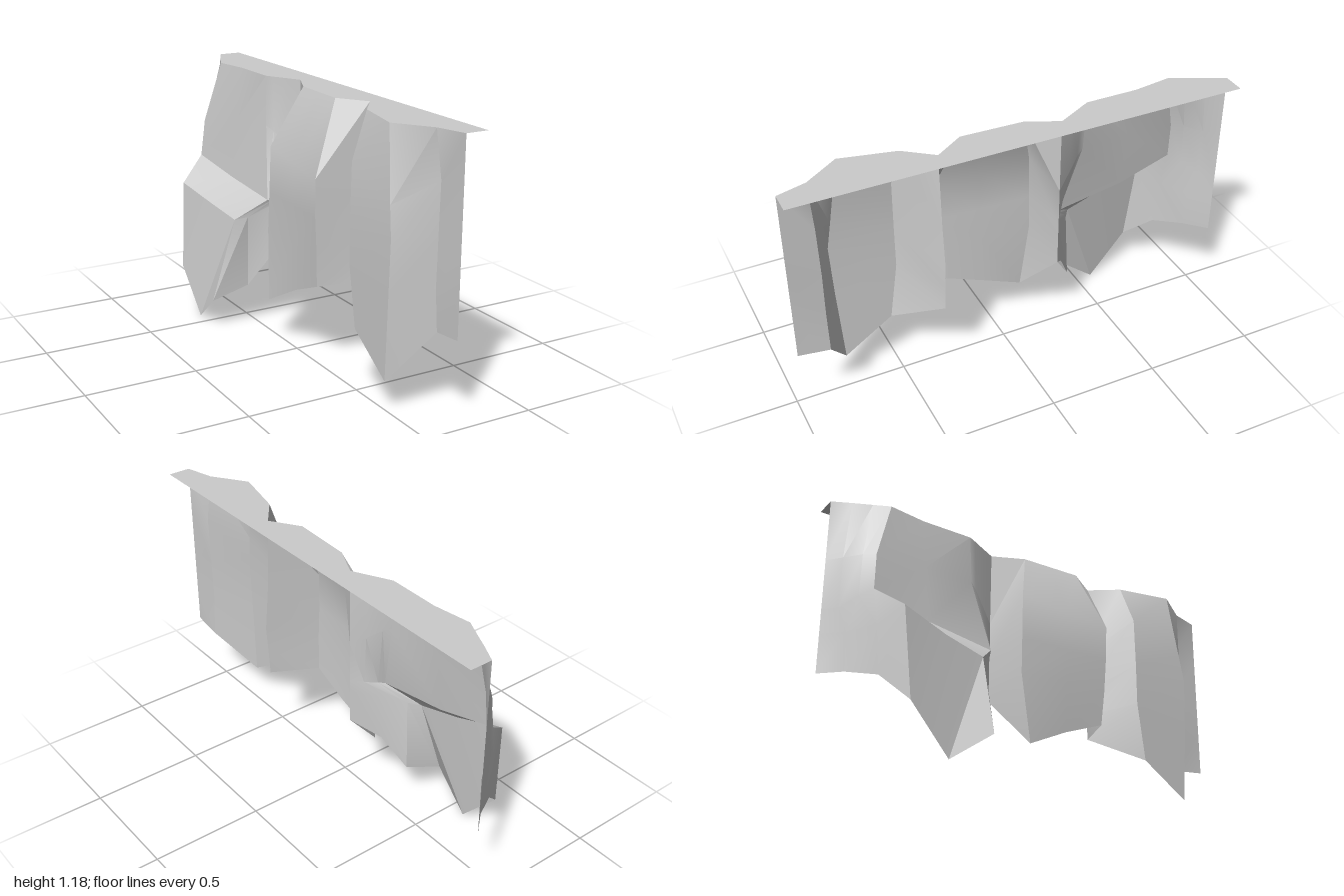
import * as THREE from 'three';
import { toCreasedNormals } from 'three/addons/utils/BufferGeometryUtils.js';

const TOP = 1.176, BACK = 0.23;
const material = new THREE.MeshStandardMaterial({ color: 0xcccccc, side: THREE.DoubleSide });

// Upright column at fixed z, listed from the rim down as [x, y] pairs.
const column = (z, pairs) => pairs.map(([x, y]) => [x, y, z]);

// Recessed seams between the buttresses and the two outer ends.
const frontEnd = column(1, [[0.13, TOP], [0.13, 0.95], [0.13, 0.75], [0.13, 0.55], [0.13, 0.375]]);
const frontSeam = column(0.35, [[0.14, TOP], [0.155, 0.845], [0.173, 0.65], [0.165, 0.53], [0.158, 0.41]]);
const rearSeam = column(-0.2, [[0.13, TOP], [0.13, 0.83], [0.13, 0.65], [0.13, 0.6], [0.13, 0.45]]);
const rearEnd = column(-1, [[0.13, TOP], [0.13, 0.89], [0.13, 0.66], [0.13, 0.55], [0.13, 0.375]]);

// Each buttress is a run of columns of five [x, y, z] points, rim to foot.
const frontButtress = [
  frontEnd,
  [[0.095, TOP, 0.87], [0.127, 0.97, 0.865], [0.127, 0.75, 0.86], [0.124, 0.54, 0.86], [0.136, 0.36, 0.86]],
  [[-0.01, TOP, 0.717], [-0.028, 0.87, 0.76], [-0.034, 0.74, 0.78], [-0.033, 0.5, 0.77], [-0.028, 0.145, 0.75]],
  [[0.045, TOP, 0.475], [-0.03, 0.98, 0.49], [-0.035, 0.75, 0.49], [-0.035, 0.556, 0.49], [-0.03, 0.29, 0.53]],
  frontSeam,
];
const middleButtress = [
  frontSeam,
  [[0.055, TOP, 0.22], [-0.078, 0.866, 0.29], [-0.075, 0.7, 0.285], [-0.065, 0.55, 0.28], [-0.055, 0.39, 0.267]],
  [[0.06, TOP, 0.08], [-0.065, 0.886, 0.08], [-0.065, 0.7, 0.08], [-0.06, 0.55, 0.08], [-0.05, 0.315, 0.08]],
  [[0.065, TOP, -0.06], [-0.05, 0.91, -0.145], [-0.055, 0.7, -0.15], [-0.06, 0.53, -0.155], [-0.077, 0.21, -0.12]],
  rearSeam,
];
// The rear buttress steps outwards at a sloping shelf between rows three and four.
const rearButtress = [
  rearSeam,
  [[0.096, TOP, -0.266], [0.094, 0.88, -0.26], [0.078, 0.64, -0.23], [0.03, 0.57, -0.272], [0.02, 0.353, -0.28]],
  [[0.062, TOP, -0.33], [0.058, 0.93, -0.32], [0.026, 0.63, -0.258], [-0.065, 0.535, -0.344], [-0.06, 0.2, -0.36]],
  [[0.045, TOP, -0.364], [0.04, 0.95, -0.355], [0, 0.626, -0.273], [-0.114, 0.52, -0.38], [-0.228, 0.14, -0.39]],
  [[0.045, TOP, -0.6], [0.01, 0.93, -0.6], [-0.02, 0.663, -0.593], [-0.142, 0.556, -0.572], [-0.207, 0, -0.577]],
  [[0.02, TOP, -0.77], [-0.035, 0.89, -0.85], [-0.053, 0.717, -0.86], [-0.185, 0.61, -0.785], [-0.214, 0.2, -0.755]],
  [[0.053, TOP, -0.84], [0, 0.89, -0.895], [0, 0.7, -0.9], [-0.08, 0.55, -0.85], [-0.09, 0.33, -0.835]],
  [[0.09, TOP, -0.92], [0.07, 0.89, -0.95], [0.07, 0.66, -0.95], [0.05, 0.55, -0.92], [0.04, 0.37, -0.92]],
  rearEnd,
];

// Skin a sheet of rock across neighbouring columns, facing -x.
function rockSheet(columns) {
  const rows = columns[0].length, index = [];
  for (let i = 0; i < columns.length - 1; i++) {
    for (let r = 0; r < rows - 1; r++) {
      const a = i * rows + r, b = a + 1, c = a + rows, d = c + 1;
      index.push(a, d, b, a, c, d);
    }
  }
  const geometry = new THREE.BufferGeometry();
  geometry.setAttribute('position', new THREE.Float32BufferAttribute(columns.flat(2), 3));
  geometry.setIndex(index);
  return toCreasedNormals(geometry, 0.45);
}

function addMesh(group, name, geometry) {
  const mesh = new THREE.Mesh(geometry, material);
  mesh.name = name;
  group.add(mesh);
}

export function createModel() {
  const group = new THREE.Group();
  group.name = 'cliffEdge';
  const buttresses = { frontButtress, middleButtress, rearButtress };
  for (const [name, columns] of Object.entries(buttresses)) addMesh(group, name, rockSheet(columns));

  // Flat top ledge, from the rim of the rock back to a straight edge.
  const rim = Object.values(buttresses).flatMap((columns, i) => (i ? columns.slice(1) : columns).map((c) => c[0]));
  const outline = rim.map(([x, , z]) => new THREE.Vector2(x, -z));
  outline.push(new THREE.Vector2(BACK, 1), new THREE.Vector2(BACK, -1));
  const ledge = new THREE.ShapeGeometry(new THREE.Shape(outline));
  ledge.rotateX(-Math.PI / 2).translate(0, TOP, 0);
  addMesh(group, 'topLedge', ledge);
  return group;
}
